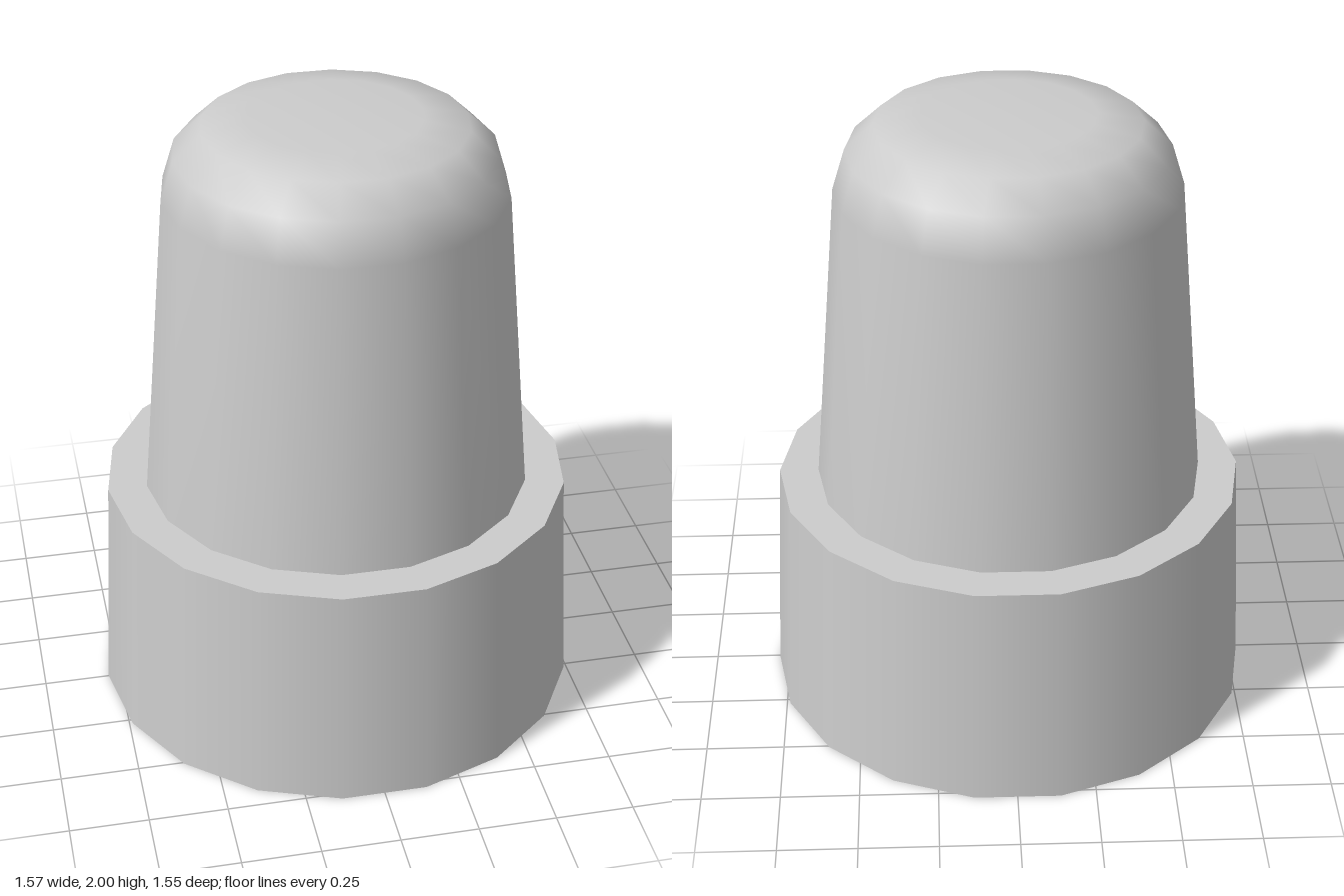
import * as THREE from 'three';

const SIDES = 18;
const material = new THREE.MeshStandardMaterial({ color: 0xcccccc });

// Revolve a [radius, height] profile, with a corner on the x axis
function turned(name, profile) {
  const points = profile.map(([r, y]) => new THREE.Vector2(r, y));
  const mesh = new THREE.Mesh(new THREE.LatheGeometry(points, SIDES, Math.PI / 2), material);
  mesh.name = name;
  return mesh;
}

export function createModel() {
  const model = new THREE.Group();
  model.name = 'domedCap';

  // Separate strips keep the edges of the collar sharp
  const collar = new THREE.Group();
  collar.name = 'collar';
  collar.add(
    turned('collarBottom', [[0, 0], [0.787, 0]]),
    turned('collarWall', [[0.787, 0], [0.75, 0.75]]),
    turned('collarLedge', [[0.75, 0.75], [0.624, 0.75]])
  );

  // Tapered body blending smoothly into a rounded top
  const body = turned('domedBody', [
    [0.624, 0.75], [0.54, 1.76], [0.5, 1.89], [0.412, 1.973], [0.27, 2], [0, 2]
  ]);

  model.add(collar, body);
  return model;
}
